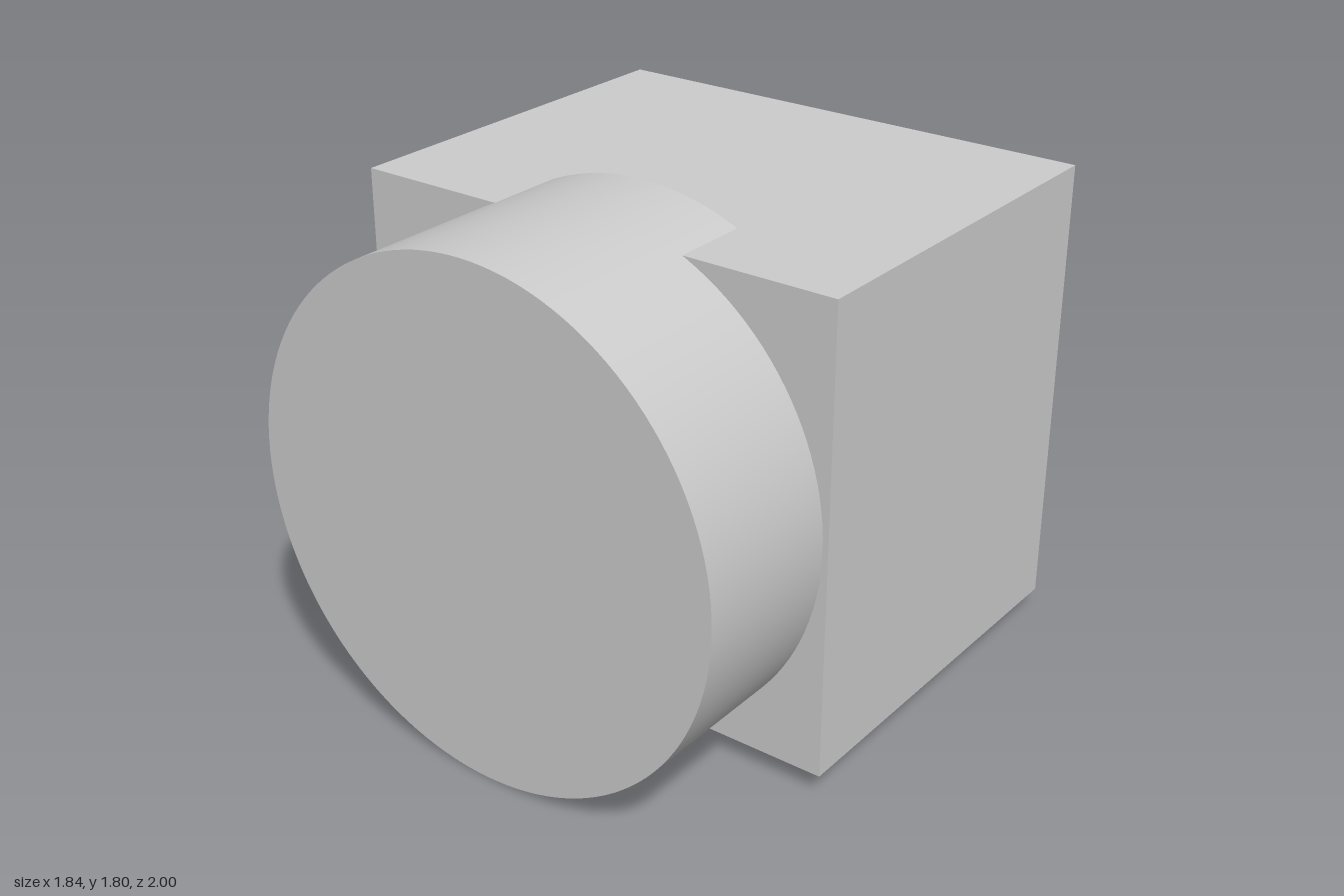
import * as THREE from 'three';

export function createModel() {
  const group = new THREE.Group();
  const material = new THREE.MeshStandardMaterial({ color: 0xcccccc });
  const centerY = 0.9;

  // Block-shaped body at the back
  const backZ = -1, frontZ = 0.44;
  const body = new THREE.Mesh(new THREE.BoxGeometry(1.84, 1.64, frontZ - backZ), material);
  body.name = 'body';
  body.position.set(0, centerY, (backZ + frontZ) / 2);
  group.add(body);

  // Round drum set into the front, bulging slightly through top and bottom
  const drumBack = 0.16, drumFront = 1;
  const drumGeometry = new THREE.CylinderGeometry(0.9, 0.9, drumFront - drumBack, 128);
  drumGeometry.rotateX(Math.PI / 2);
  const drum = new THREE.Mesh(drumGeometry, material);
  drum.name = 'drum';
  drum.position.set(0, centerY, (drumBack + drumFront) / 2);
  group.add(drum);

  return group;
}
